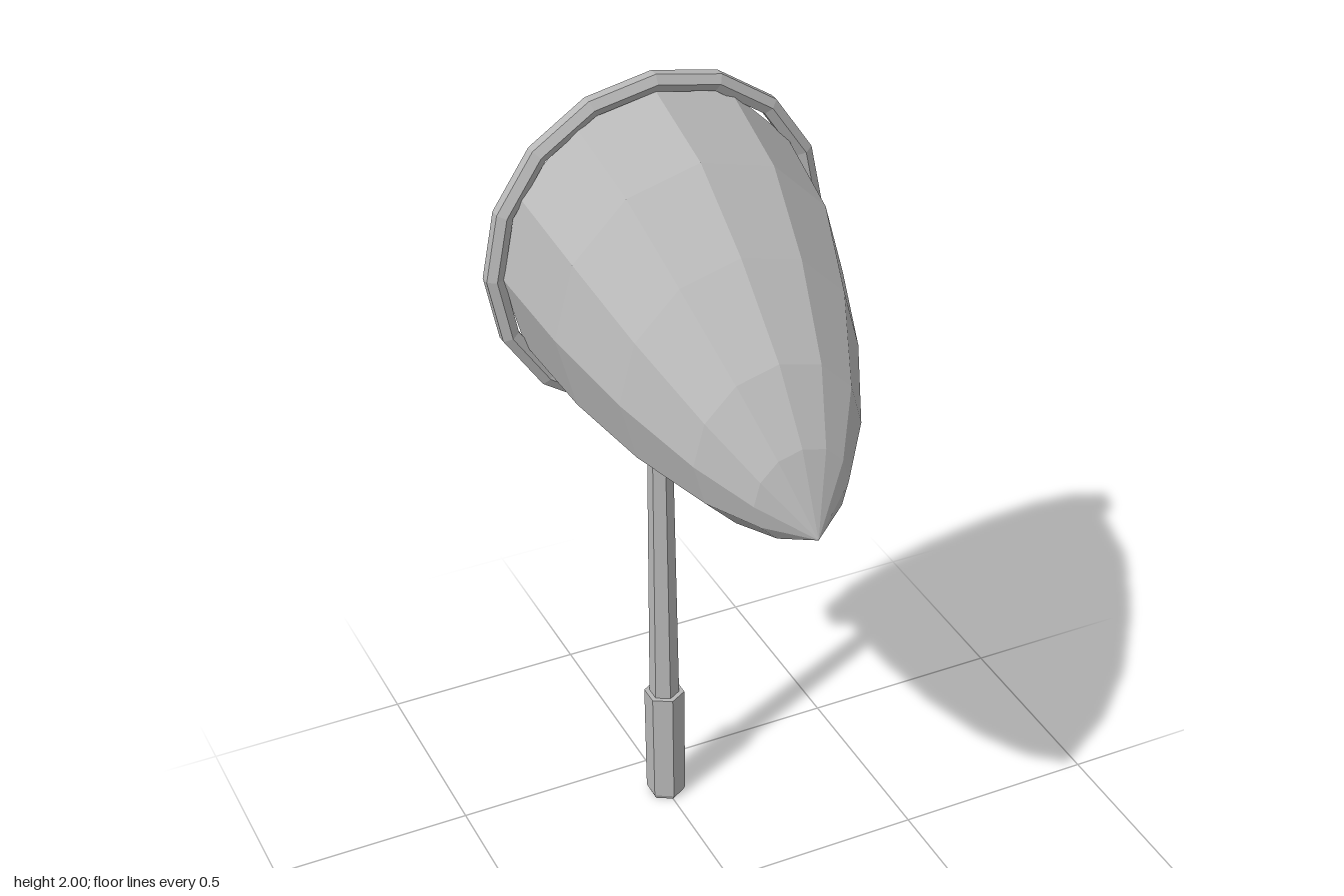
import * as THREE from 'three';

export function createModel() {
  const model = new THREE.Group();
  const grey = new THREE.MeshStandardMaterial({ color: 0xb8b8b8, flatShading: true, side: THREE.DoubleSide });
  grey.name = 'grey';

  const add = (name, geometry, x, y, z) => {
    const mesh = new THREE.Mesh(geometry, grey);
    mesh.name = name;
    mesh.position.set(x, y, z);
    model.add(mesh);
  };

  const planeZ = -0.375; // plane shared by the hoop and the pole
  const hoopY = 1.592;

  // Hoop: hexagonal section with a flat outer face, 16 segments round
  const section = [];
  for (let i = 0; i <= 6; i++) {
    const a = (i * Math.PI) / 3 - Math.PI / 6;
    section.push(new THREE.Vector2(0.389 + 0.0235 * Math.cos(a), 0.0235 * Math.sin(a)));
  }
  add('hoop', new THREE.LatheGeometry(section, 16).rotateX(Math.PI / 2), 0, hoopY, planeZ);

  // Net bag: 12-sided rings [z, radius, centre height] sagging toward the tip
  const rings = [
    [planeZ, 0.372, hoopY], [-0.14, 0.345, 1.55], [0.055, 0.283, 1.482],
    [0.235, 0.197, 1.41], [0.345, 0.111, 1.352], [0.425, 0, 1.285],
  ];
  const net = new THREE.LatheGeometry(rings.map(([z, r]) => new THREE.Vector2(r, z)), 12);
  net.rotateX(Math.PI / 2);
  const pos = net.attributes.position;
  for (let i = 0; i < pos.count; i++) pos.setY(i, pos.getY(i) + rings[i % rings.length][2]);
  net.computeVertexNormals();
  add('net', net, 0, 0, 0);

  // Tapered hexagonal pole
  add('pole', new THREE.CylinderGeometry(0.029, 0.037, 0.89, 6), 0, 0.755, planeZ);

  // Hexagonal grip with a small bevel at its foot
  const grip = [[0, 0], [0.043, 0], [0.049, 0.012], [0.05, 0.32], [0, 0.32]];
  add('grip', new THREE.LatheGeometry(grip.map(([r, y]) => new THREE.Vector2(r, y)), 6), 0, 0, planeZ);

  return model;
}
